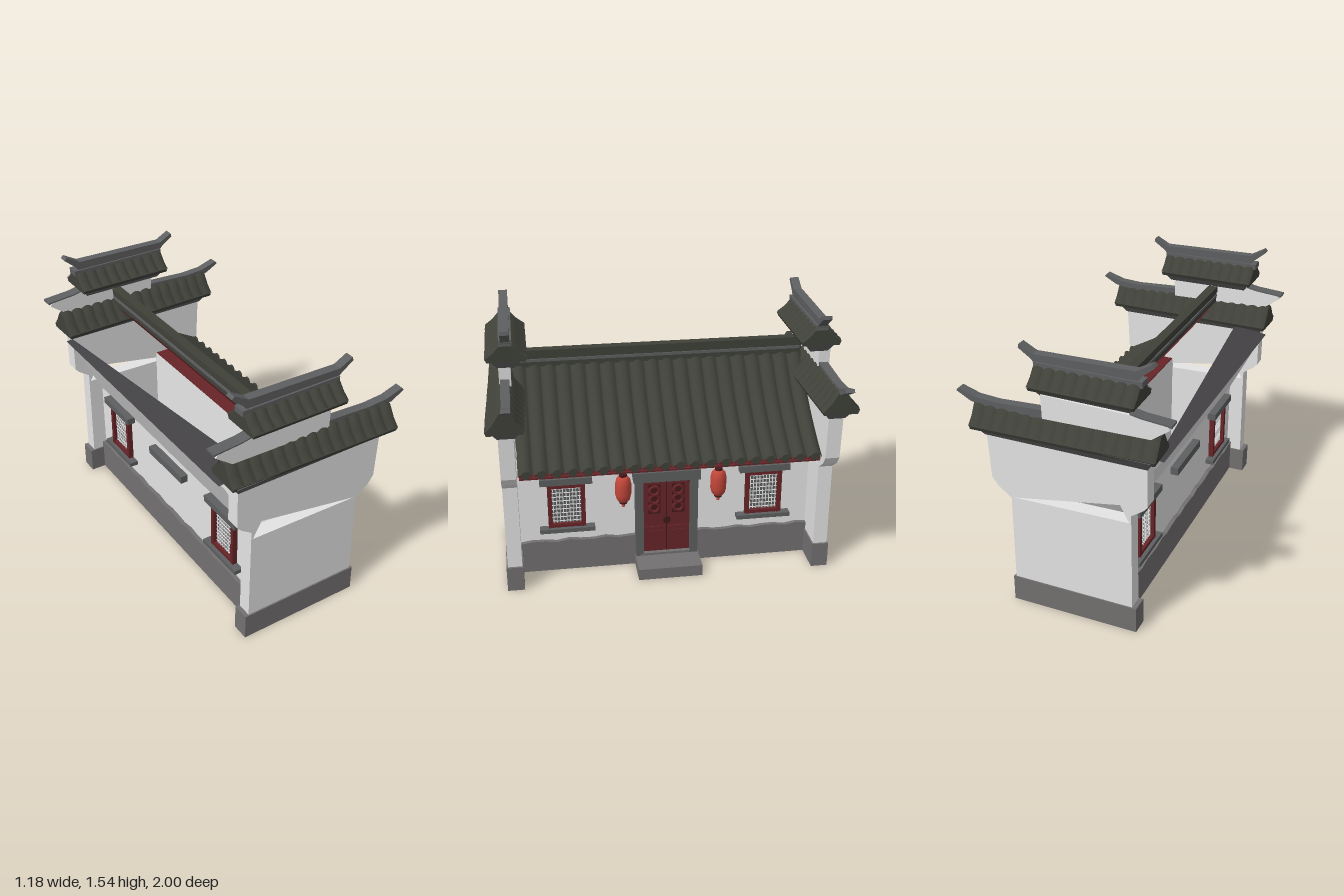
import * as THREE from 'three';

const mat = (name, color, side = THREE.FrontSide) => {
  const m = new THREE.MeshStandardMaterial({ color, side });
  m.name = name;
  return m;
};

export function createModel() {
  const root = new THREE.Group();
  const white = mat('white plaster', 0xf4f4f4, THREE.DoubleSide);
  const shell = mat('outer plaster', 0xe4e4e4);
  const stone = mat('grey stone', 0x737070);
  const trim = mat('dark grey trim', 0x5e5f60);
  const tile = mat('roof tile', 0x3f4139, THREE.DoubleSide);
  const red = mat('dark red wood', 0x672428, THREE.DoubleSide);
  const redLight = mat('lantern red', 0xc4473a);
  const dark = mat('dark wood', 0x421a1b);
  const sheet = mat('back eave slate', 0x434145, THREE.DoubleSide);

  const add = (name, geo, m, parent = root) => {
    const mesh = new THREE.Mesh(geo, m);
    mesh.name = name;
    parent.add(mesh);
    return mesh;
  };
  // box given by its minimum and maximum on each axis
  const box = (name, m, x0, x1, y0, y1, z0, z1, parent = root) =>
    add(name, new THREE.BoxGeometry(x1 - x0, y1 - y0, z1 - z0)
      .translate((x0 + x1) / 2, (y0 + y1) / 2, (z0 + z1) / 2), m, parent);
  const outline = pts => new THREE.Shape(pts.map(p => new THREE.Vector2(...p)));
  // outline in x/y extruded along z
  const slab = (name, m, shape, z0, z1, parent) =>
    add(name, new THREE.ExtrudeGeometry(shape, { depth: z1 - z0, bevelEnabled: false })
      .translate(0, 0, z0), m, parent);
  // flat four-sided face, corners counter-clockwise from outside
  const face = (name, m, pts) => {
    const g = new THREE.BufferGeometry();
    g.setAttribute('position', new THREE.Float32BufferAttribute(pts.flat(), 3));
    g.setIndex([0, 1, 2, 0, 2, 3]);
    g.computeVertexNormals();
    return add(name, g, m);
  };
  // sheet swept along z from an x/y path, with rounded tile ribs
  const ribbed = (path, length, ribs, amp) => {
    const n = ribs * 8, k = path.length, pos = [], idx = [];
    for (let i = 0; i <= n; i++) {
      const u = i / n, bump = amp * Math.pow(Math.abs(Math.sin(Math.PI * ribs * u)), 0.8);
      path.forEach(([x, y]) => pos.push(x, y + bump, (u - 0.5) * length));
      if (i < n) for (let j = 0; j < k - 1; j++) {
        const a = i * k + j, b = a + k;
        idx.push(a, b, a + 1, b, b + 1, a + 1);
      }
    }
    const g = new THREE.BufferGeometry();
    g.setAttribute('position', new THREE.Float32BufferAttribute(pos, 3));
    g.setIndex(idx);
    g.computeVertexNormals();
    return g;
  };
  // box that widens upwards
  const cornice = (parent, x0, x1, y0, y1, half, dx, dz) => {
    const g = new THREE.BoxGeometry(x1 - x0, y1 - y0, half * 2), p = g.attributes.position;
    for (let i = 0; i < p.count; i++) if (p.getY(i) > 0)
      p.setXYZ(i, p.getX(i) + Math.sign(p.getX(i)) * dx, p.getY(i), p.getZ(i) + Math.sign(p.getZ(i)) * dz);
    g.computeVertexNormals();
    add('cornice', g.translate((x0 + x1) / 2, (y0 + y1) / 2, 0), trim, parent);
  };
  // small two-sided tile roof running along x
  const capRoof = (parent, x0, x1, y0, y1, half, ribs) => {
    const h = y1 - y0, cx = (x0 + x1) / 2, length = x1 - x0 - 0.01;
    const path = [[-half, y0], [-half * 0.6, y0 + h * 0.4], [-half * 0.22, y1],
      [half * 0.22, y1], [half * 0.6, y0 + h * 0.4], [half, y0]];
    add('capTiles', ribbed(path, x1 - x0, ribs, 0.015).rotateY(Math.PI / 2).translate(cx, 0, 0), tile, parent);
    add('capBody', new THREE.ExtrudeGeometry(outline([...path, [half * 0.92, y0 - 0.02], [-half * 0.92, y0 - 0.02]]),
      { depth: length, bevelEnabled: false })
      .translate(0, 0, -length / 2).rotateY(Math.PI / 2).translate(cx, 0, 0), tile, parent);
  };

  // Stepped gable walls, one at each end
  for (const s of [1, -1]) {
    const g = new THREE.Group();
    g.name = s > 0 ? 'frontGable' : 'rearGable';
    g.position.z = 0.893 * s;
    root.add(g);
    box('gablePlinth', stone, -0.415, 0.31, 0, 0.15, -0.047, 0.05, g);
    const wall = outline([[-0.39, 0.15], [0.298, 0.15], [0.296, 0.655], [0.37, 0.71], [0.405, 0.76],
      [0.418, 1.02], [-0.472, 1.03], [-0.472, 0.79], [-0.45, 0.765], [-0.385, 0.72]]);
    wall.holes.push(new THREE.Path([[-0.375, 0.675], [-0.325, 0.77], [0.28, 0.66]].map(p => new THREE.Vector2(...p))));
    slab('gableWall', shell, wall, -0.04, 0.042, g);
    cornice(g, -0.475, 0.425, 1.01, 1.07, 0.047, 0.03, 0.04);
    // lower tier is turned slightly outward at the front
    const low = new THREE.Group();
    low.name = 'lowerTier';
    low.position.z = -0.008 * s;
    low.rotation.y = -0.025 * s;
    g.add(low);
    capRoof(low, -0.525, 0.485, 1.075, 1.18, 0.103, 15);
    slab('parapet', shell, outline([[-0.49, 1.18], [0.09, 1.17], [0.095, 1.3], [-0.4, 1.29],
      [-0.44, 1.28], [-0.575, 1.268], [-0.585, 1.25]]), -0.045, 0.02, g);
    slab('parapetCap', trim, outline([[-0.595, 1.262], [-0.575, 1.268], [-0.44, 1.28], [-0.38, 1.292],
      [-0.38, 1.299], [-0.44, 1.287], [-0.595, 1.275]]), -0.046, 0.021, g);
    slab('lowerRidge', trim, outline([[0.08, 1.16], [0.4, 1.165], [0.5, 1.18], [0.583, 1.225], [0.57, 1.24],
      [0.47, 1.208], [0.35, 1.2], [0.08, 1.213]]), -0.035, 0.015, g);
    // upper tier sits slightly inward
    const top = new THREE.Group();
    top.name = 'upperTier';
    top.position.z = -0.025 * s;
    g.add(top);
    cornice(top, -0.37, 0.105, 1.285, 1.34, 0.05, 0.03, 0.04);
    capRoof(top, -0.42, 0.148, 1.35, 1.435, 0.113, 9);
    box('ridgeBar', trim, -0.43, 0.145, 1.42, 1.452, -0.035, 0.035, top);
    slab('upperRidge', trim, outline([[-0.4, 1.45], [0.14, 1.44], [0.165, 1.465], [0.23, 1.51], [0.225, 1.53],
      [0.15, 1.49], [-0.39, 1.5], [-0.47, 1.545], [-0.485, 1.53], [-0.42, 1.475]]), -0.025, 0.025, top);
  }

  // Main roof: tiled front slope, red underside, soffit and eave board
  const slope = new THREE.CatmullRomCurve3([[-0.17, 1.175], [0, 0.998], [0.19, 0.855], [0.37, 0.75]]
    .map(([x, y]) => new THREE.Vector3(x, y, 0))).getPoints(12).map(p => [p.x, p.y]);
  add('roofTiles', ribbed(slope, 1.69, 20, 0.03), tile);
  add('roofUnderside', ribbed(slope.map(([x, y]) => [x - 0.012, y - 0.014]), 1.68, 1, 0), red);
  box('soffit', red, 0.1, 0.345, 0.728, 0.736, -0.84, 0.84);
  box('eaveBoard', red, 0.335, 0.35, 0.722, 0.752, -0.84, 0.84);
  for (let i = 0; i < 20; i++)
    add('eaveTile', new THREE.CylinderGeometry(0.024, 0.024, 0.012, 10).rotateZ(Math.PI / 2)
      .translate(0.37, 0.762, (i - 9.5) * 0.0845), tile);
  box('roofRidge', tile, -0.188, -0.157, 1.18, 1.25, -0.84, 0.84);
  box('ridgeBand', trim, -0.194, -0.15, 1.212, 1.228, -0.83, 0.83);
  box('ridgeCap', tile, -0.2, -0.145, 1.25, 1.283, -0.82, 0.82);

  // House floor and long walls; the back wall flares out to its eave
  const back = -0.3;
  box('floor', stone, back, 0.1, 0, 0.03, -0.86, 0.86);
  add('frontWall', new THREE.PlaneGeometry(1.72, 0.71).rotateY(Math.PI / 2).translate(0.1, 0.375, 0), white);
  face('backWall', shell, [[back, 0, -0.86], [back, 0, 0.86], [back, 0.6, 0.86], [back, 0.6, -0.86]]);
  const flare = [[back, 0.6, -0.86], [back, 0.6, 0.86], [-0.5, 1.0, 0.86], [-0.5, 1.0, -0.86]];
  face('backWallFlare', shell, flare);
  face('flareLining', stone, flare.map(([x, y, z]) => [x + 0.004, y, z]).reverse());
  face('backEave', sheet, [[-0.52, 1.01, -0.84], [-0.52, 1.01, 0.84], [-0.32, 1.04, 0.84], [-0.48, 1.015, -0.84]]);

  // Plinth with an uneven top edge
  const edge = [[-0.86, 0], [0.86, 0]];
  for (let i = 0; i <= 24; i++) edge.push([0.86 - i * 1.72 / 24, 0.195 + 0.007 * Math.sin(i * 2.3)]);
  const plinth = new THREE.ExtrudeGeometry(outline(edge), { depth: 0.025, bevelEnabled: false });
  add('frontPlinth', plinth.clone().rotateY(Math.PI / 2).translate(0.1, 0, 0), stone);
  add('backPlinth', plinth.clone().rotateY(-Math.PI / 2).translate(back, 0, 0), stone);

  // Lattice windows; local +x points out of the wall
  const buildWindow = (x, z, turn) => {
    const g = new THREE.Group();
    g.name = 'window';
    g.position.set(x, 0, z);
    g.rotation.y = turn;
    root.add(g);
    box('windowLintel', trim, 0, 0.05, 0.57, 0.61, -0.15, 0.15, g);
    box('windowSill', trim, 0, 0.05, 0.262, 0.287, -0.16, 0.16, g);
    box('windowPane', trim, 0, 0.006, 0.29, 0.56, -0.1, 0.1, g);
    for (const s of [-1, 1]) {
      box('windowJamb', red, 0, 0.03, 0.287, 0.56, s * 0.096 - 0.012, s * 0.096 + 0.012, g);
      box('windowRail', red, 0, 0.029, 0.424 + s * 0.126 - 0.01, 0.424 + s * 0.126 + 0.01, -0.096, 0.096, g);
    }
    for (let i = -4; i <= 4; i++) {
      box('latticeBar', white, 0.006, 0.011, 0.31, 0.545, i * 0.019 - 0.002, i * 0.019 + 0.002, g);
      box('latticeBar', white, 0.006, 0.01, 0.424 + i * 0.026 - 0.002, 0.424 + i * 0.026 + 0.002, -0.088, 0.088, g);
    }
  };
  for (const z of [-0.58, 0.58]) {
    buildWindow(0.1, z, 0);
    buildWindow(back, z, Math.PI);
  }
  box('backLintel', trim, back - 0.045, back, 0.52, 0.565, -0.18, 0.18);

  // Doorway, step and double door
  box('doorStep', stone, 0.1, 0.31, 0, 0.068, -0.187, 0.187);
  box('doorLintel', trim, 0.1, 0.17, 0.56, 0.622, -0.195, 0.195);
  box('doorSill', stone, 0.1, 0.155, 0.068, 0.082, -0.18, 0.18);
  for (const s of [-1, 1]) {
    box('doorJamb', trim, 0.1, 0.155, 0.068, 0.56, s * 0.16 - 0.023, s * 0.16 + 0.023);
    box('doorLeaf', red, 0.1, 0.13, 0.08, 0.56, s * 0.0695 - 0.068, s * 0.0695 + 0.068);
    box('doorPanel', dark, 0.13, 0.132, 0.335, 0.525, s * 0.07 - 0.036, s * 0.07 + 0.036);
    box('lowerPanel', red, 0.13, 0.136, 0.1, 0.22, s * 0.07 - 0.045, s * 0.07 + 0.045);
    box('middleRail', red, 0.13, 0.138, 0.235, 0.25, s * 0.07 - 0.06, s * 0.07 + 0.06);
    for (const y of [0.375, 0.43, 0.485])
      add('carvedRing', new THREE.TorusGeometry(0.027, 0.011, 6, 14).rotateY(Math.PI / 2)
        .translate(0.132, y, s * 0.07), red);
  }
  box('doorSeam', dark, 0.11, 0.131, 0.08, 0.56, -0.003, 0.003);
  add('doorLock', new THREE.CylinderGeometry(0.022, 0.022, 0.02, 12).rotateZ(Math.PI / 2)
    .translate(0.14, 0.295, 0), dark);

  // Hanging lanterns
  const profile = [[0, -0.078], [0.026, -0.078], [0.038, -0.062], [0.046, -0.03], [0.046, 0.03],
    [0.038, 0.062], [0.026, 0.078], [0, 0.078]].map(p => new THREE.Vector2(...p));
  for (const z of [-0.27, 0.27]) {
    const g = new THREE.Group();
    g.name = 'lantern';
    g.position.set(0.3, 0.605, z);
    root.add(g);
    add('lanternBody', new THREE.LatheGeometry(profile, 14), redLight, g);
    for (const s of [-1, 1])
      add('lanternCap', new THREE.CylinderGeometry(0.022, 0.022, 0.014, 12).translate(0, s * 0.083, 0), dark, g);
    add('lanternCord', new THREE.CylinderGeometry(0.005, 0.005, 0.09, 6).translate(0, 0.125, 0), dark, g);
    add('lanternTassel', new THREE.CylinderGeometry(0.006, 0.01, 0.025, 6).translate(0, -0.1, 0), redLight, g);
  }
  return root;
}
